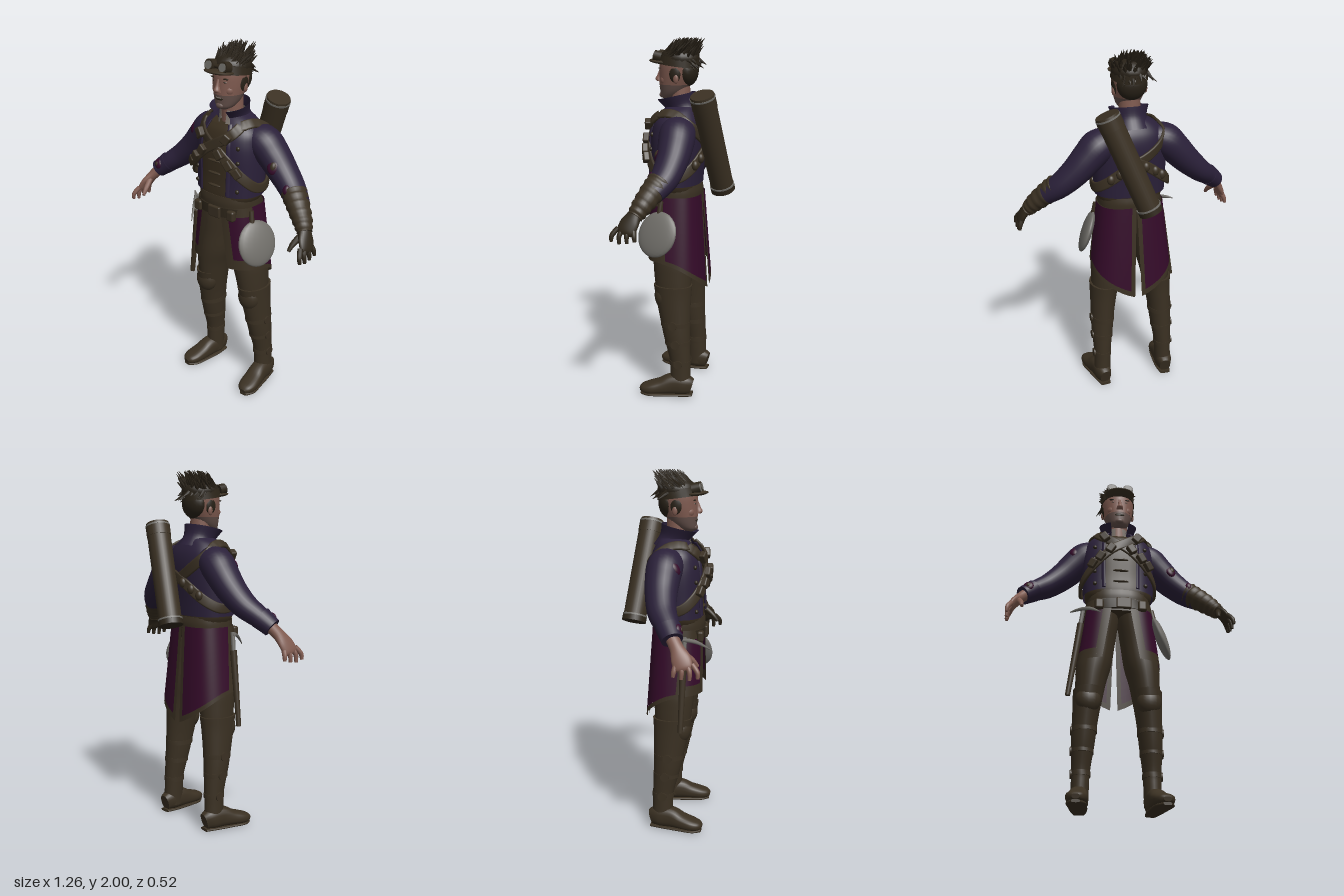
import * as THREE from 'three';
import { ParametricGeometry } from 'three/addons/geometries/ParametricGeometry.js';
import { RoundedBoxGeometry } from 'three/addons/geometries/RoundedBoxGeometry.js';

const V = (x, y, z) => new THREE.Vector3(x, y, z);
const colours = {
  jacketPurple: 0x2a2039, leather: 0x3a3022, vestBrown: 0x382d1e, plumCloth: 0x340a29, skin: 0x805b50,
  stubble: 0x64504a, hair: 0x282117, metal: 0x706e69, darkLeather: 0x2e261a, paleCloth: 0x766e67,
};
const M = {};

// Cubic interpolation of rows of numbers
function refine(rows, n) {
  const out = [], at = i => rows[Math.max(0, Math.min(rows.length - 1, i))];
  for (let i = 0; i < rows.length - 1; i++) for (let k = 0; k < n; k++) {
    const t = k / n;
    out.push(rows[0].map((_, c) => {
      const [a, b, d, e] = [at(i - 1)[c], at(i)[c], at(i + 1)[c], at(i + 2)[c]];
      return b + 0.5 * t * (d - a + t * (2 * a - 5 * b + 4 * d - e + t * (3 * (b - d) + e - a)));
    }));
  }
  out.push(rows[rows.length - 1].slice());
  return out;
}
const bend = (v, e) => Math.sign(v) * Math.abs(v) ** e;

// Skin over elliptical rings [x, y, z, radius along ref, radius across]
function sweep(rows, { steps = 5, seg = 24, upright = false, ref = () => V(0, 0, 1), e = 1, gap = 0 } = {}) {
  const d = steps > 1 ? refine(rows, steps) : rows, pos = [], idx = [], full = gap === 0, w = full ? seg : seg + 1;
  const C = d.map(r => V(r[0], r[1], r[2]));
  d.forEach((r, i) => {
    const T = upright ? V(0, 1, 0) : C[Math.min(i + 1, C.length - 1)].clone().sub(C[Math.max(i - 1, 0)]).normalize();
    const U = ref(C[i]); U.addScaledVector(T, -U.dot(T)).normalize();
    const W = T.clone().cross(U);
    for (let j = 0; j < w; j++) {
      const a = gap + j / seg * (Math.PI * 2 - 2 * gap);
      pos.push(...C[i].clone().addScaledVector(U, bend(Math.cos(a), e) * r[3]).addScaledVector(W, bend(Math.sin(a), e) * r[4]).toArray());
    }
  });
  for (let i = 0; i < d.length - 1; i++) for (let j = 0; j < seg; j++) {
    const a = i * w + j, b = i * w + (j + 1) % w;
    idx.push(a, b, a + w, b, b + w, a + w);
  }
  if (full) for (const i of [0, d.length - 1]) {
    const o = pos.length / 3;
    pos.push(...pos.slice(i * w * 3, (i + 1) * w * 3), ...C[i].toArray());
    for (let j = 0; j < w; j++) i ? idx.push(o + w, o + j, o + (j + 1) % w) : idx.push(o + w, o + (j + 1) % w, o + j);
  }
  const g = new THREE.BufferGeometry();
  g.setAttribute('position', new THREE.Float32BufferAttribute(pos, 3));
  g.setIndex(idx); g.computeVertexNormals();
  return g;
}

export function createModel() {
  const root = new THREE.Group();
  for (const [name, color] of Object.entries(colours)) M[name] = Object.assign(new THREE.MeshStandardMaterial({ color }), { name });
  for (const n of ['jacketPurple', 'leather', 'plumCloth', 'paleCloth']) M[n].side = THREE.DoubleSide;
  const add = (name, geo, mat, p = [0, 0, 0], s = [1, 1, 1]) => {
    const m = new THREE.Mesh(geo, M[mat]); m.name = name;
    m.position.set(...p); m.scale.set(...s); root.add(m); return m;
  };
  const ball = (name, mat, p, s) => add(name, new THREE.SphereGeometry(1, 20, 14), mat, p, s);
  const rod = (name, mat, a, b, r0, r1 = r0, seg = 20) => {
    const A = V(...a), B = V(...b), m = add(name, new THREE.CylinderGeometry(r1, r0, A.distanceTo(B), seg), mat);
    m.position.copy(A).add(B).multiplyScalar(0.5);
    m.quaternion.setFromUnitVectors(V(0, 1, 0), B.sub(A).normalize()); return m;
  };
  const patch = (name, mat, p, n, s) => ball(name, mat, p, s).quaternion.setFromUnitVectors(V(0, 0, 1), V(...n).normalize());

  // Torso: vest below an open jacket
  const torso = [[0, 1.21, 0.06, 0.14, 0.2], [0, 1.3, 0.055, 0.14, 0.203], [0, 1.42, 0.05, 0.145, 0.205], [0, 1.5, 0.045, 0.143, 0.2],
    [0, 1.56, 0.04, 0.128, 0.185], [0, 1.61, 0.035, 0.098, 0.135], [0, 1.64, 0.03, 0.075, 0.08]];
  const dense = refine(torso, 10);
  const onTorso = (a, y, off) => {
    const r = dense.reduce((p, q) => Math.abs(q[1] - y) < Math.abs(p[1] - y) ? q : p);
    return [bend(Math.sin(a), 0.85) * (r[4] + off), y, r[2] + bend(Math.cos(a), 0.85) * (r[3] + off)];
  };
  const outward = p => V(p.x, Math.max(0, p.y - 1.52) * 1.8, p.z - 0.05);
  add('jacket', sweep(torso, { upright: true, e: 0.85, gap: 0.38, seg: 40 }), 'jacketPurple');
  add('vest', sweep([[0, 1.08, 0.06, 0.13, 0.175], [0, 1.16, 0.06, 0.13, 0.172], ...torso.slice(0, 5).map(r => [0, r[1], r[2], r[3] * 0.96, r[4] * 0.95]), [0, 1.59, 0.037, 0.1, 0.13]], { upright: true, e: 0.85, seg: 32 }), 'vestBrown');
  add('collar', sweep([[0, -0.08, -0.02, 0.09, 0.1], [0, -0.02, 0, 0.088, 0.09], [0, 0.04, 0.016, 0.108, 0.11]], { upright: true, gap: 0.5 }), 'jacketPurple', [0, 1.655, 0.04]).rotation.x = 0.22;
  add('shirtCollar', sweep([[0, 1.56, 0.05, 0.088, 0.07], [0, 1.6, 0.045, 0.08, 0.068], [0, 1.66, 0.042, 0.07, 0.066]], { upright: true, gap: 0.3 }), 'paleCloth');
  for (const y of [1.26, 1.33, 1.4]) ball('vestClasp', 'leather', onTorso(0, y, -0.005), [0.045, 0.007, 0.012]);
  for (const s of [-1, 1]) {
    for (const y of [1.25, 1.33, 1.41, 1.49]) ball('jacketButton', 'darkLeather', onTorso(s * 0.72, y, 0.003), [0.012, 0.012, 0.01]);
    add('lapelEdge', sweep([1.22, 1.32, 1.42, 1.52, 1.6].map(y => [...onTorso(s * 0.42, y, 0.004), 0.006, 0.012]), { ref: outward }), 'jacketPurple');
    // Crossed straps running over the shoulder and round the back
    const path = refine([[0.85, 1.6], [0.5, 1.56], [0, 1.49], [-0.8, 1.34], [-1.57, 1.26], [-2.3, 1.3], [-3.14, 1.42], [-4.1, 1.55], [-4.75, 1.605], [-5.43, 1.6]], 7);
    add('crossStrap', sweep(path.map(([a, y]) => [...onTorso(a * s, y, 0.014 + s * 0.003), 0.008, 0.028]), { steps: 1, seg: 12, e: 0.5, ref: outward }), 'leather');
    for (const [a, y] of [[0.36, 1.54], [-0.2, 1.455], [-0.45, 1.405], [-0.68, 1.365]]) {
      const m = add('strapPouch', new RoundedBoxGeometry(0.045, 0.055, 0.035, 2, 0.008), 'leather', onTorso(a * s, y, 0.03));
      m.rotation.set(0, a * s * 0.7, -s * 0.6);
    }
    for (const a of [2.5, 2.75, 3.0]) ball('backPouch', 'leather', onTorso(s * a, 1.33 + (a - 2.5) * 0.13, 0.02), [0.022, 0.028, 0.02]);
  }
  add('waistSash', sweep([[0, 1.13, 0.06, 0.14, 0.178], [0, 1.17, 0.06, 0.143, 0.178], [0, 1.205, 0.06, 0.138, 0.176]], { upright: true, e: 0.85 }), 'leather');
  add('belt', sweep([[0, 1.09, 0.06, 0.148, 0.188], [0, 1.145, 0.06, 0.148, 0.186]], { upright: true, e: 0.85, steps: 2 }), 'darkLeather');
  add('beltBuckle', new RoundedBoxGeometry(0.085, 0.065, 0.02, 2, 0.008), 'leather', [0.015, 1.115, 0.21]);
  for (const x of [-0.12, 0.12]) add('beltPouch', new RoundedBoxGeometry(0.05, 0.06, 0.035, 2, 0.012), 'leather', [x, 1.11, 0.19]);

  // Coat skirt: two mirrored halves, open in front and long at the back
  const skirt = [[0.025, 0.58, 0, 0.94, 'plumCloth'], [0.64, 0.92, 0.14, 0.84, 'plumCloth'], [0, 0.025, 0, 0.94, 'leather'], [0.58, 0.64, 0, 0.84, 'leather'],
    [0.92, 1, 0, 0.84, 'leather'], [0.64, 0.92, 0, 0.14, 'leather'], [0.58, 1, 0.84, 0.94, 'leather'], [0, 1, 0.94, 1, 'leather']];
  for (const s of [-1, 1]) for (const [u0, u1, t0, t1, mat] of skirt) {
    const f = (a, b, out) => {
      const t = t0 + (t1 - t0) * b, q = 0.04 * t + (u0 + (u1 - u0) * a) * (3.0 - 0.24 * t), c = Math.cos(q);
      const hem = 0.79 - 0.19 * Math.max(0, 1 - q / 1.8) ** 1.2;
      out.set(s * bend(Math.sin(q), 0.75) * (0.186 + 0.046 * t), 1.15 + (hem - 1.15) * t, 0.055 - 0.012 * t - bend(c, 0.75) * (0.142 + 0.024 * t));
    };
    add('coatSkirtPanel', new ParametricGeometry(f, 20, 12), mat);
  }

  for (const s of [-1, 1]) {
    // Legs and boots
    add('trouserLeg', sweep([[s * 0.16, 0.58, 0.04, 0.095, 0.072], [s * 0.148, 0.7, 0.045, 0.106, 0.084], [s * 0.132, 0.8, 0.047, 0.113, 0.096],
      [s * 0.11, 0.92, 0.05, 0.112, 0.092], [s * 0.09, 1.03, 0.055, 0.115, 0.088], [s * 0.085, 1.1, 0.06, 0.115, 0.085]], { upright: true }), 'leather');
    add('bootShaft', sweep([[s * 0.195, 0.04, -0.01, 0.06, 0.048], [s * 0.192, 0.14, -0.008, 0.058, 0.048], [s * 0.19, 0.22, -0.005, 0.06, 0.05], [s * 0.183, 0.36, 0.015, 0.076, 0.063],
      [s * 0.175, 0.48, 0.028, 0.089, 0.069], [s * 0.166, 0.58, 0.038, 0.101, 0.077], [s * 0.16, 0.65, 0.042, 0.11, 0.084]], { upright: true }), 'leather');
    ball('kneePad', 'leather', [s * 0.165, 0.585, 0.09], [0.068, 0.08, 0.056]);
    add('bootFoot', sweep([[s * 0.19, 0.055, -0.075, 0.045, 0.032], [s * 0.195, 0.066, -0.03, 0.058, 0.048], [s * 0.203, 0.066, 0.04, 0.058, 0.05], [s * 0.213, 0.051, 0.1, 0.043, 0.054],
      [s * 0.223, 0.04, 0.16, 0.033, 0.055], [s * 0.228, 0.034, 0.2, 0.025, 0.042], [s * 0.23, 0.03, 0.22, 0.012, 0.02]], { ref: () => V(0, 1, 0), e: 0.8 }), 'leather');
    add('bootSole', sweep([[s * 0.19, 0.008, -0.077, 0.008, 0.03], [s * 0.197, 0.008, 0, 0.008, 0.044], [s * 0.212, 0.008, 0.1, 0.008, 0.05], [s * 0.225, 0.008, 0.17, 0.008, 0.05], [s * 0.23, 0.008, 0.215, 0.008, 0.022]], { ref: () => V(0, 1, 0), e: 0.6 }), 'leather');
    for (const [y, x, z, rz, rx] of [[0.43, 0.178, 0.023, 0.085, 0.069], [0.32, 0.185, 0.009, 0.073, 0.061], [0.2, 0.19, -0.006, 0.062, 0.052]]) {
      add('bootStrap', sweep([[s * x, y - 0.013, z, rz, rx], [s * x, y + 0.013, z, rz, rx]], { upright: true, steps: 2 }), 'leather');
      rod('bootStud', 'leather', [s * (x + rx - 0.02), y, z], [s * (x + rx + 0.004), y, z], 0.025);
    }

    // Arms: the left one has a gauntlet and glove
    const gloved = s > 0, handMat = gloved ? 'darkLeather' : 'skin';
    const arm = [[0.12, 1.53, 0.02, 0.085, 0.07], [0.19, 1.5, 0.006, 0.098, 0.092], [0.25, 1.442, 0.001, 0.094, 0.087], [0.32, 1.368, 0.004, 0.085, 0.078],
      [0.4, 1.295, 0.022, 0.076, 0.067], [0.47, 1.24, 0.06, 0.064, 0.057], [0.53, 1.195, 0.09, 0.052, 0.047]].map(r => [s * r[0], ...r.slice(1)]);
    add('sleeve', sweep(gloved ? arm.slice(0, 6) : arm), 'jacketPurple');
    if (gloved) {
      const g = refine([[0.42, 1.285, 0.035, 0.07, 0.066], [0.47, 1.24, 0.065, 0.064, 0.06], [0.53, 1.18, 0.1, 0.054, 0.05], [0.565, 1.135, 0.125, 0.042, 0.038]], 8);
      add('gauntlet', sweep(g.map((r, i) => [r[0], r[1], r[2], r[3] + 0.003 * Math.sin(i * 1.6), r[4] + 0.003 * Math.sin(i * 1.6)]), { steps: 1 }), 'leather');
    } else add('cuff', sweep([[-0.48, 1.235, 0.065, 0.066, 0.06], [-0.54, 1.185, 0.095, 0.056, 0.05]], { steps: 2 }), 'jacketPurple');
    add('hand', sweep([[s * 0.525, 1.195, 0.09, 0.036, 0.032], [s * 0.56, 1.15, 0.12, 0.036, 0.028], [s * 0.59, 1.105, 0.145, 0.05, 0.022], [s * 0.608, 1.065, 0.16, 0.048, 0.018], [s * 0.612, 1.05, 0.165, 0.035, 0.01]]), handMat);
    for (let i = 0; i < 4; i++) {
      const z = 0.122 + i * 0.027, k = Math.abs(i - 1.7) * 0.01;
      add('finger', sweep([[s * 0.6, 1.08, z, 0.014, 0.014], [s * 0.617, 1.045, z + 0.012 * i - 0.008, 0.013, 0.013], [s * 0.622, 1.0 + k, z + 0.014 * i - 0.012, 0.009, 0.009]], { seg: 10 }), handMat);
    }
    add('thumb', sweep([[s * 0.565, 1.13, 0.145, 0.018, 0.018], [s * 0.548, 1.09, 0.195, 0.015, 0.015], [s * 0.542, 1.055, 0.225, 0.009, 0.009]], { seg: 10 }), handMat);
  }
  // Cloth patches on the sleeves
  patch('sleevePatch', 'plumCloth', [-0.255, 1.5, 0.066], [-0.4, 0.5, 0.8], [0.03, 0.042, 0.022]);
  patch('sleevePatch', 'plumCloth', [0.31, 1.41, 0.071], [0.4, 0.4, 0.8], [0.034, 0.045, 0.02]);
  patch('sleevePatchCentre', 'leather', [0.313, 1.413, 0.077], [0.4, 0.4, 0.8], [0.018, 0.026, 0.018]);
  patch('sleevePatch', 'plumCloth', [-0.51, 1.23, 0.124], [-0.2, 0.3, 1], [0.03, 0.032, 0.018]);
  patch('sleevePatchCentre', 'leather', [-0.511, 1.232, 0.129], [-0.2, 0.3, 1], [0.016, 0.018, 0.016]);
  patch('sleevePatch', 'plumCloth', [0.41, 1.31, 0.086], [0.2, 0.4, 1], [0.02, 0.028, 0.018]);

  // Head and face
  rod('neck', 'skin', [0, 1.55, 0.04], [0, 1.74, 0.045], 0.06, 0.058);
  add('jaw', sweep([[0, 1.67, 0.115, 0.018, 0.025], [0, 1.685, 0.098, 0.05, 0.05], [0, 1.715, 0.08, 0.072, 0.068], [0, 1.755, 0.067, 0.089, 0.081]], { upright: true }), 'stubble');
  add('face', sweep([[0, 1.75, 0.068, 0.088, 0.08], [0, 1.8, 0.056, 0.1, 0.09], [0, 1.86, 0.05, 0.104, 0.094], [0, 1.91, 0.045, 0.095, 0.085], [0, 1.945, 0.04, 0.06, 0.055]], { upright: true }), 'skin');
  add('nose', sweep([[0, 1.765, 0.155, 0.018, 0.02], [0, 1.778, 0.162, 0.02, 0.018], [0, 1.8, 0.154, 0.017, 0.011], [0, 1.835, 0.147, 0.01, 0.009]], { upright: true }), 'skin');
  ball('muzzle', 'skin', [0, 1.733, 0.12], [0.042, 0.034, 0.032]);
  ball('mouth', 'darkLeather', [0, 1.731, 0.147], [0.028, 0.011, 0.008]);
  ball('teeth', 'paleCloth', [0, 1.735, 0.152], [0.02, 0.004, 0.005]);
  ball('chin', 'stubble', [0, 1.692, 0.138], [0.026, 0.018, 0.02]);
  for (const s of [-1, 1]) {
    ball('cheek', 'skin', [s * 0.04, 1.775, 0.112], [0.03, 0.032, 0.03]);
    ball('eye', 'paleCloth', [s * 0.037, 1.82, 0.14], [0.012, 0.004, 0.007]);
    ball('pupil', 'hair', [s * 0.037, 1.82, 0.145], [0.006, 0.005, 0.004]);
    ball('eyebrow', 'hair', [s * 0.04, 1.838, 0.143], [0.022, 0.004, 0.007]);
    ball('ear', 'skin', [s * 0.089, 1.785, 0.042], [0.01, 0.026, 0.015]);
    ball('sideburn', 'hair', [s * 0.08, 1.815, 0.05], [0.016, 0.05, 0.034]);
    // Goggles
    rod('goggleRim', 'darkLeather', [s * 0.047, 1.895, 0.13], [s * 0.048, 1.905, 0.172], 0.032, 0.03);
    rod('goggleLens', 'metal', [s * 0.048, 1.903, 0.168], [s * 0.048, 1.905, 0.176], 0.022);
  }
  rod('goggleBridge', 'darkLeather', [-0.03, 1.9, 0.155], [0.03, 1.9, 0.155], 0.01);
  const band = add('headBand', sweep([[0, -0.025, 0, 0.114, 0.1], [0, 0.022, 0, 0.11, 0.096]], { upright: true, steps: 2 }), 'darkLeather', [0, 1.875, 0.047]);
  band.rotation.x = -0.12;
  ball('visor', 'leather', [0, 1.872, 0.145], [0.088, 0.014, 0.068]).rotation.x = -0.1;

  // Spiky hair swept up and back
  ball('hairCap', 'hair', [0, 1.89, 0.042], [0.098, 0.07, 0.108]);
  ball('hairBack', 'hair', [0, 1.825, 0.0], [0.084, 0.085, 0.06]);
  let seed = 7;
  const rnd = () => (seed = (seed * 16807) % 2147483647) / 2147483647;
  for (let i = 0; i < 230; i++) {
    const a = rnd() * Math.PI * 2, h = i < 185 ? 0.2 + rnd() * 0.8 : -0.6 + rnd() * 0.8, r = Math.sqrt(1 - h * h);
    const b = [Math.sin(a) * r * 0.088, 1.885 + h * 0.06, 0.042 + Math.cos(a) * r * 0.095];
    if (h < 0.2 && b[2] > 0.01) continue;
    const k = 0.5 + rnd() * 0.7, dy = h > 0.2 ? 0.065 - 3.5 * b[0] * b[0] : -0.03;
    rod('hairSpike', 'hair', b, [b[0] * (1 + 0.3 * k) + (rnd() - 0.5) * 0.03, Math.min(1.999, b[1] + dy * k), b[2] - 0.045 * k], 0.012, 0.001, 5);
  }

  // Long case slung on the back
  const A = V(-0.045, 1.165, -0.195), B = V(0.178, 1.712, -0.125), at = t => A.clone().lerp(B, t).toArray();
  rod('backCase', 'leather', at(0.02), at(0.98), 0.064, 0.066, 28);
  for (const [t, u] of [[0.05, 0.065], [0.965, 0.98]]) rod('caseTrim', 'metal', at(t), at(u), 0.069, 0.069, 28);
  rod('caseBase', 'darkLeather', at(0), at(0.05), 0.068, 0.068, 28);
  rod('caseLid', 'leather', at(0.87), at(0.965), 0.068, 0.068, 28);
  rod('caseCap', 'leather', at(0.98), at(1), 0.066, 0.064, 28);

  // Round flask on the left hip
  patch('flask', 'metal', [0.237, 0.955, 0.11], [0.9, 0.32, 0.25], [0.118, 0.128, 0.03]);
  rod('flaskStrap', 'leather', [0.185, 1.13, 0.1], [0.2, 1.05, 0.11], 0.014);

  // Scabbard and curved pick on the right hip
  rod('scabbard', 'leather', [-0.276, 0.6, 0.1], [-0.213, 1.02, 0.11], 0.014, 0.02, 12);
  rod('pickHandle', 'metal', [-0.215, 1.02, 0.11], [-0.2, 1.12, 0.115], 0.012, 0.012, 12);
  add('pickBlade', sweep([[-0.27, 1.11, 0.07, 0.004, 0.003], [-0.225, 1.11, 0.11, 0.008, 0.01], [-0.17, 1.085, 0.18, 0.008, 0.011], [-0.118, 1.03, 0.255, 0.002, 0.002]], { seg: 10 }), 'metal');
  return root;
}
